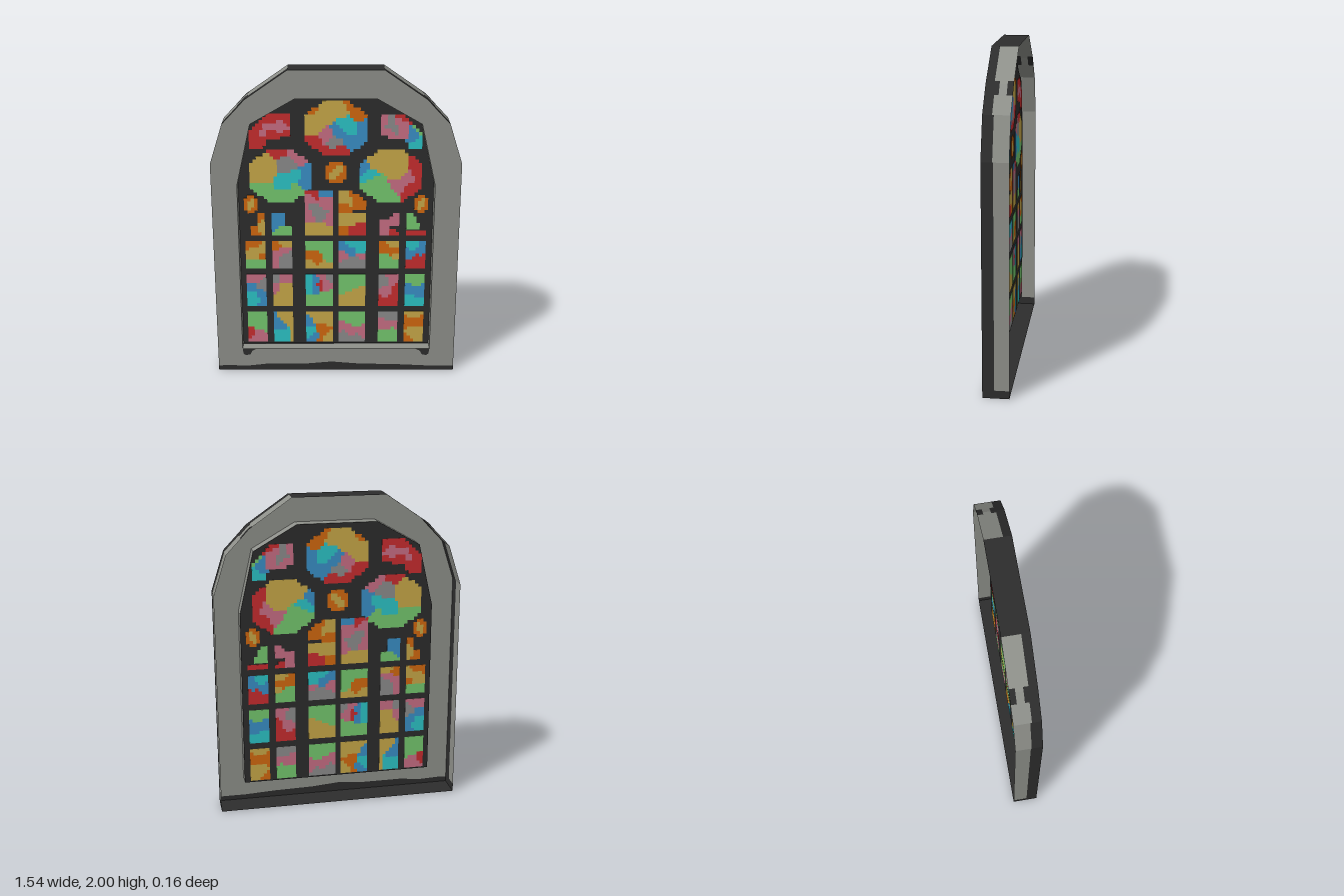
import * as THREE from 'three';
import { mergeGeometries } from 'three/addons/utils/BufferGeometryUtils.js';

const mat = (name, color) => new THREE.MeshStandardMaterial({ name, color, side: THREE.DoubleSide });
const stone = mat('stone grey', 0x8f918b);
const lead = mat('lead black', 0x2d2d2d);
const GLASS = {
  g: mat('gold glass', 0xc9aa49), n: mat('green glass', 0x76c96f), c: mat('cyan glass', 0x2cc6c8),
  b: mat('blue glass', 0x3a90c8), r: mat('red glass', 0xc92d2f), p: mat('pink glass', 0xc96f85),
  o: mat('orange glass', 0xd4690f), s: mat('smoke glass', 0x8d8d8d),
};
const NAMES = { g: 'gold', n: 'green', c: 'cyan', b: 'blue', r: 'red', p: 'pink', o: 'orange', s: 'smoke' };

const FRONT = 0.08, BACK = -0.08, GLASS_Z = -0.005, CELL = 0.0213;

// Right half of each outline, mirrored to the full arch
const mirror = (pts) => [...pts, ...pts.slice().reverse().map(([x, y]) => [-x, y])];
const OUTER_HALF = [[0.77, 0], [0.77, 1.42], [0.69, 1.67], [0.6, 1.765], [0.55, 1.82], [0.53, 1.834], [0.29, 2]];
const INNER = mirror([[0.61, 0.155], [0.61, 1.28], [0.52, 1.67], [0.25, 1.825]]);

const shapeOf = (pts) => new THREE.Shape(pts.map(([x, y]) => new THREE.Vector2(x, y)));

// Flat wall running along a-b between two depths
function wall([ax, ay], [bx, by], z0, z1) {
  const g = new THREE.BufferGeometry();
  g.setAttribute('position', new THREE.Float32BufferAttribute([
    ax, ay, z1, ax, ay, z0, bx, by, z0, ax, ay, z1, bx, by, z0, bx, by, z1], 3));
  g.computeVertexNormals();
  return g;
}

function add(group, name, geometry, material) {
  const mesh = new THREE.Mesh(geometry, material);
  mesh.name = name;
  group.add(mesh);
  return mesh;
}

// Open-backed frame: front face, outer walls in two tones, inner reveal
function buildFrame() {
  const frame = new THREE.Group();
  frame.name = 'frame';
  const edge = [[-0.77, 0.03], [-0.72, 0.035], [-0.58, 0.03], [-0.45, 0.045], [-0.2, 0.045], [-0.03, 0.06],
    [0.15, 0.045], [0.4, 0.04], [0.6, 0.03], [0.77, 0.03]];
  const arch = mirror(OUTER_HALF.slice(1));
  const face = shapeOf([...edge, ...arch]);
  face.holes.push(new THREE.Path(INNER.map(([x, y]) => new THREE.Vector2(x, y))));
  add(frame, 'frontFace', new THREE.ShapeGeometry(face), stone).position.z = FRONT;
  const foot = shapeOf([[-0.77, 0], [0.77, 0], ...edge.slice().reverse()]);
  add(frame, 'frontFoot', new THREE.ShapeGeometry(foot), lead).position.z = FRONT;

  const pale = [], dark = [];
  const splits = [0.01, 0.015, 0.025, 0, 0, 0.03];
  for (const s of [1, -1]) {
    OUTER_HALF.slice(1).forEach((q, i) => {
      let a = [OUTER_HALF[i][0] * s, OUTER_HALF[i][1]];
      const b = [q[0] * s, q[1]];
      if (s < 0) a = [a[0], a[1]];
      const put = (list, p, r, z0, z1) => list.push(s > 0 ? wall(p, r, z0, z1) : wall(r, p, z0, z1));
      if (i === 0) { // dark base of the side wall
        const base = [a[0], 0.05];
        put(dark, a, base, BACK, splits[0]);
        put(pale, base, b, BACK, splits[0]);
      } else {
        const patch = i === 3 || i === 4 ? -0.045 : BACK;
        if (patch > BACK) put(dark, a, b, BACK, patch);
        put(pale, a, b, patch, splits[i]);
      }
      put(dark, a, b, splits[i], FRONT);
    });
  }
  dark.push(wall([0.29, 2], [-0.29, 2], BACK, FRONT), wall([-0.77, 0], [0.77, 0], BACK, FRONT));

  // Inner reveal down to the glass, with a dark seam along the sill
  INNER.forEach((p, i) => {
    const q = INNER[(i + 1) % INNER.length];
    const sill = i === INNER.length - 1;
    pale.push(wall(q, p, sill ? 0.012 : GLASS_Z, FRONT));
    if (sill) dark.push(wall(q, p, GLASS_Z, 0.012));
  });
  add(frame, 'paleWalls', mergeGeometries(pale), stone);
  add(frame, 'darkWalls', mergeGeometries(dark), lead);

  // Dark chips under the lower corners of the opening
  for (const s of [1, -1]) {
    const chip = [[0.61, 0.155], [0.605, 0.12], [0.59, 0.108], [0.56, 0.115], [0.548, 0.14], [0.52, 0.155]];
    add(frame, 'cornerChip', new THREE.ShapeGeometry(shapeOf(chip.map(([x, y]) => [x * s, y]))), lead)
      .position.z = FRONT + 0.002;
  }
  return frame;
}

const rect = (x0, x1, y0, y1) => [[x0, y0], [x1, y0], [x1, y1], [x0, y1]];
const octagon = (x, y, rx, ry) => Array.from({ length: 8 }, (_, i) => {
  const a = (i + 0.5) * Math.PI / 4;
  return [x + rx * Math.cos(a) * 1.082, y + ry * Math.sin(a) * 1.082];
});
const diamond = (x, y, rx, ry) => [[x - rx, y - ry * 0.35], [x - rx * 0.35, y - ry], [x + rx * 0.35, y - ry],
  [x + rx, y - ry * 0.35], [x + rx, y + ry * 0.35], [x + rx * 0.35, y + ry], [x - rx * 0.35, y + ry], [x - rx, y + ry * 0.35]];

// Each pane: outline and colour seeds (letter, tenth across, tenth up)
const COLUMNS = [[-0.577, -0.45], [-0.407, -0.28], [-0.196, -0.02], [0.015, 0.19], [0.275, 0.402], [0.445, 0.572]];
const ROWS = [
  [0.165, 0.385, ['n47 n85 p71 p31 r02', 'b07 b35 c12 c52 g77 g92 g48', 'g38 g87 b06 c13 b31 o63 o40 g81',
    'n67 n28 p05 p43 s21 s71 p92', 's78 s38 p16 p45 n73 n21 p95', 'g49 o16 o86 g53 g92 o00']],
  [0.425, 0.65, ['p59 p18 s86 b25 b73 c32 c03 b91', 's18 p48 p88 p16 g52 g21 g86 g55', 'c18 b38 c15 r56 p76 s89 p59 n52 n93 n11 b35',
    'n37 g62', 's27 p78 p34 r62 r11 r95', 'n48 b15 b54 b93 c22 c71']],
  [0.69, 0.88, ['o49 o08 g35 g86 n41 n82 o94', 'o18 g69 s74 p15 p56 p21 s51', 'n68 n84 n18 o15 o43 g11 g61',
    'c59 c87 b17 b46 p15 p84 s41 s72', 'g69 o18 o76 n32 n71 g94', 'c38 b87 b15 r42 r92']],
];
const PANES = [
  ...ROWS.flatMap(([y0, y1, seeds]) => seeds.map((s, i) => [rect(...COLUMNS[i], y0, y1), s])),
  // Broken row beneath the rosettes
  [[[-0.54, 0.92], [-0.45, 0.92], [-0.45, 1.07], [-0.5, 1.07], [-0.49, 0.99], [-0.54, 0.97]], 'g73 o22 o68 g95'],
  [[[-0.407, 0.92], [-0.28, 0.92], [-0.28, 0.98], [-0.33, 1.0], [-0.33, 1.06], [-0.407, 1.07]], 'b17 b56 n41 n82 b04'],
  [rect(-0.196, -0.02, 0.92, 1.22), 'p18 r29 b79 s35 p77 p14 s54 p83 g31 g81 g51'],
  [rect(0.015, 0.19, 0.92, 1.07), 'g27 g58 o11 r82 r51 g88'],
  [[[0.015, 1.07], [0.1, 1.07], [0.11, 1.1], [0.19, 1.1], [0.19, 1.14], [0.1, 1.22], [0.015, 1.22]], 'o58 g26 o11 o84 g17'],
  [[[0.275, 0.92], [0.4, 0.92], [0.4, 0.95], [0.34, 0.96], [0.34, 0.98], [0.4, 0.98], [0.4, 1.07], [0.36, 1.07], [0.34, 1.03], [0.275, 1.02]], 'p45 p17 p84 r81 p21'],
  [[[0.445, 0.96], [0.53, 0.96], [0.53, 1.0], [0.48, 1.07], [0.445, 1.07]], 'n55'],
  [rect(0.445, 0.572, 0.92, 0.952), 'r55'],
  // Small blossoms
  ...[[-0.535, 1.13, 0.043, 0.06], [0.535, 1.13, 0.043, 0.06], [0, 1.34, 0.065, 0.068]].map((d) => [diamond(...d), 'g44 g55 o05 o94 o49 o50']),
  // Three rosettes
  [octagon(-0.345, 1.315, 0.193, 0.173), 'g25 g17 g37 s67 s57 p78 b95 c74 c53 b83 n22 n51 n72 r49'],
  [octagon(0.34, 1.315, 0.193, 0.173), 'g47 g68 g27 r95 r82 r98 p63 p74 n23 n41 n12 c15 b06 g65'],
  [octagon(0, 1.622, 0.193, 0.173), 'g37 g15 g58 o88 o79 o09 c74 c65 b94 b54 b72 p33 r12 r50 r30 s42'],
  // Upper corner lights
  [[[-0.535, 1.5], [-0.47, 1.49], [-0.41, 1.55], [-0.28, 1.57], [-0.28, 1.715], [-0.41, 1.715], [-0.53, 1.6]], 'r58 r21 r83 r13 p35 p56 p76 r98 r54 r26'],
  [[[0.275, 1.57], [0.275, 1.71], [0.41, 1.71], [0.53, 1.6], [0.53, 1.49], [0.46, 1.49], [0.41, 1.56]], 'p08 p47 p14 s36 s27 p54 r59 b73 b84 c92 c71 n95'],
];

function inside(pts, x, y) {
  let hit = false;
  pts.forEach(([ax, ay], i) => {
    const [bx, by] = pts[(i + 1) % pts.length];
    if ((ay > y) !== (by > y) && x < ax + (bx - ax) * (y - ay) / (by - ay)) hit = !hit;
  });
  return hit;
}

// Mosaic: every cell takes the colour of its nearest seed; equal runs become one tile
function buildGlass() {
  const glass = new THREE.Group();
  glass.name = 'glass';
  const tiles = {};
  for (const [pts, text] of PANES) {
    const xs = pts.map((p) => p[0]), ys = pts.map((p) => p[1]);
    const x0 = Math.min(...xs), y0 = Math.min(...ys);
    const w = Math.max(...xs) - x0, h = Math.max(...ys) - y0;
    const nx = Math.max(1, Math.round(w / CELL)), ny = Math.max(1, Math.round(h / CELL));
    const dx = w / nx, dy = h / ny;
    const seeds = text.split(' ').map((s) => [s[0], (+s[1] + 0.5) / 10 * w, (+s[2] + 0.5) / 10 * h]);
    const colourAt = (i, j) => {
      const u = (i + 0.5) * dx, v = (j + 0.5) * dy;
      if (i >= nx || !inside(pts, x0 + u, y0 + v)) return null;
      let best = null, d = Infinity;
      for (const [k, su, sv] of seeds) {
        const e = Math.hypot(u - su, v - sv);
        if (e < d) { d = e; best = k; }
      }
      return best;
    };
    for (let j = 0; j < ny; j++) {
      let start = 0, current = null;
      for (let i = 0; i <= nx; i++) {
        const k = colourAt(i, j);
        if (k === current) continue;
        if (current) {
          const box = new THREE.BoxGeometry((i - start) * dx, dy, 0.008);
          box.translate(x0 + (start + i) / 2 * dx, y0 + (j + 0.5) * dy, GLASS_Z);
          (tiles[current] ??= []).push(box);
        }
        current = k;
        start = i;
      }
    }
  }
  for (const k in tiles) add(glass, `${NAMES[k]}Panes`, mergeGeometries(tiles[k]), GLASS[k]);

  // Leaded backing sheet
  const sheet = new THREE.ExtrudeGeometry(shapeOf(INNER), { depth: 0.004, bevelEnabled: false });
  add(glass, 'leadSheet', sheet, lead).position.z = GLASS_Z - 0.002;
  return glass;
}

export function createModel() {
  const model = new THREE.Group();
  model.name = 'archedWindow';
  model.add(buildFrame(), buildGlass());
  return model;
}
